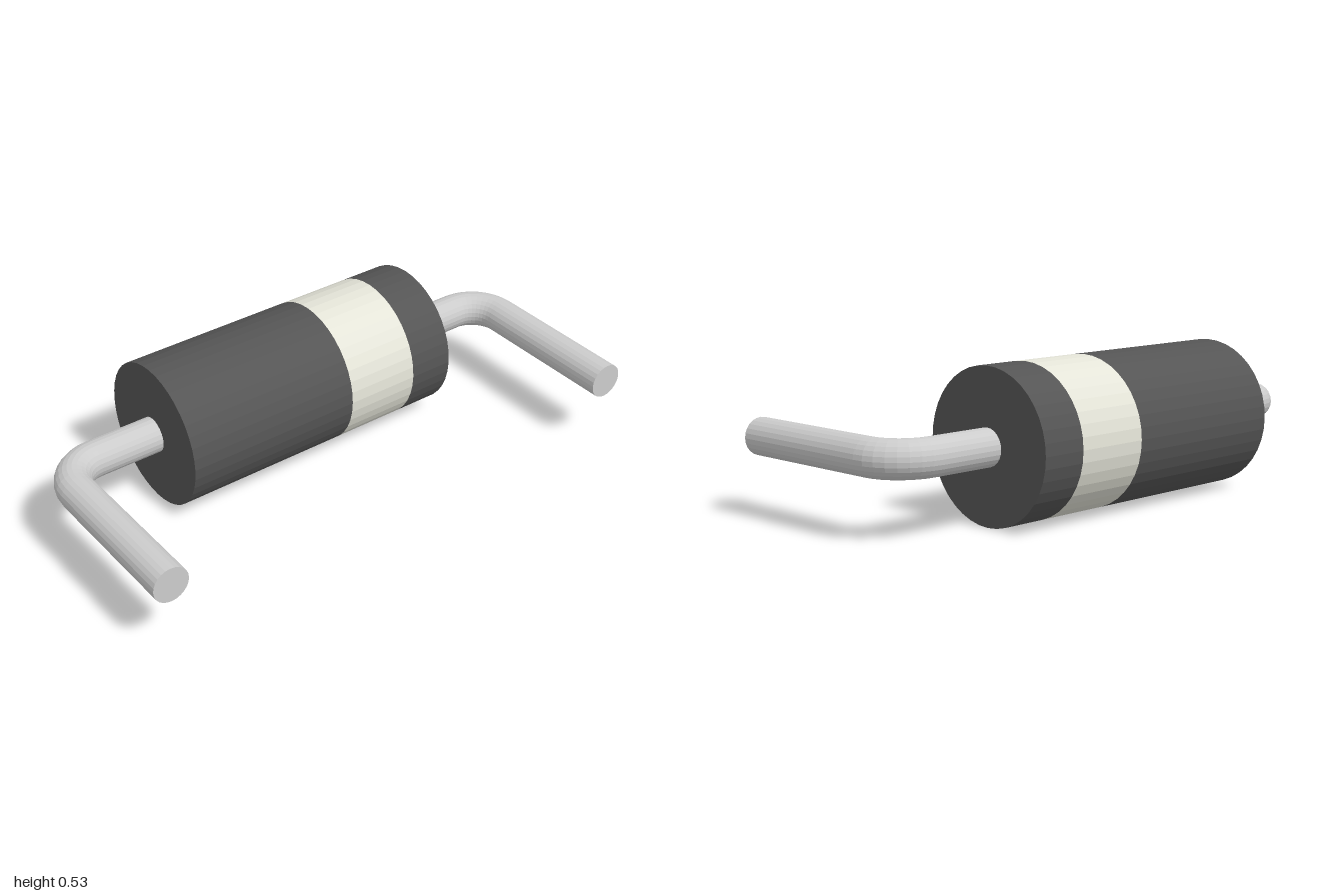
import * as THREE from 'three';
import { mergeGeometries } from 'three/addons/utils/BufferGeometryUtils.js';

const AXIS_Y = 0.265, AXIS_Z = -0.22;
const BODY_R = 0.265, BODY_END = 0.56;
const WIRE_R = 0.065, LEG_X = 0.935, LEG_END = 0.485, BEND_R = 0.135;
const BODY_SIDES = 40, WIRE_SIDES = 24;

const material = (color) => new THREE.MeshStandardMaterial({ color, flatShading: true });

// Slice of the cylindrical body between two x positions
function bodySlice(name, x0, x1, mat, openEnded = false) {
  const geo = new THREE.CylinderGeometry(BODY_R, BODY_R, x1 - x0, BODY_SIDES, 1, openEnded);
  geo.rotateZ(Math.PI / 2).translate((x0 + x1) / 2, AXIS_Y, AXIS_Z);
  const mesh = new THREE.Mesh(geo, mat);
  mesh.name = name;
  return mesh;
}

// Wire leaving one end of the body and bending forward; s = +1 left, -1 right
function wireLead(name, s, mat) {
  const bendX = LEG_X - BEND_R, bendZ = AXIS_Z + BEND_R;

  // Straight run out of the body, just seated in its end face
  const start = BODY_END - 0.01;
  const run = new THREE.CylinderGeometry(WIRE_R, WIRE_R, bendX - start, WIRE_SIDES, 1, true);
  run.rotateZ(Math.PI / 2).translate(s * (bendX + start) / 2, AXIS_Y, AXIS_Z);

  // Quarter-turn bend
  const bend = new THREE.TorusGeometry(BEND_R, WIRE_R, WIRE_SIDES, 8, Math.PI / 2);
  bend.rotateX(-Math.PI / 2);
  if (s < 0) bend.rotateY(Math.PI / 2);
  bend.translate(s * bendX, AXIS_Y, bendZ);

  // Forward leg with a closed tip
  const leg = new THREE.CylinderGeometry(WIRE_R, WIRE_R, LEG_END - bendZ, WIRE_SIDES);
  leg.rotateX(Math.PI / 2).translate(s * LEG_X, AXIS_Y, (LEG_END + bendZ) / 2);

  const mesh = new THREE.Mesh(mergeGeometries([run, bend, leg]), mat);
  mesh.name = name;
  return mesh;
}

export function createModel() {
  const group = new THREE.Group();
  group.name = 'diode';
  const dark = material(0x555555);
  const pale = material(0xe4e4d8);
  const metal = material(0xcccccc);

  group.add(
    bodySlice('mainBody', -BODY_END, 0.11, dark),
    bodySlice('polarityBand', 0.11, 0.39, pale, true),
    bodySlice('endBody', 0.39, BODY_END, dark),
    wireLead('leftLead', 1, metal),
    wireLead('rightLead', -1, metal),
  );
  return group;
}
